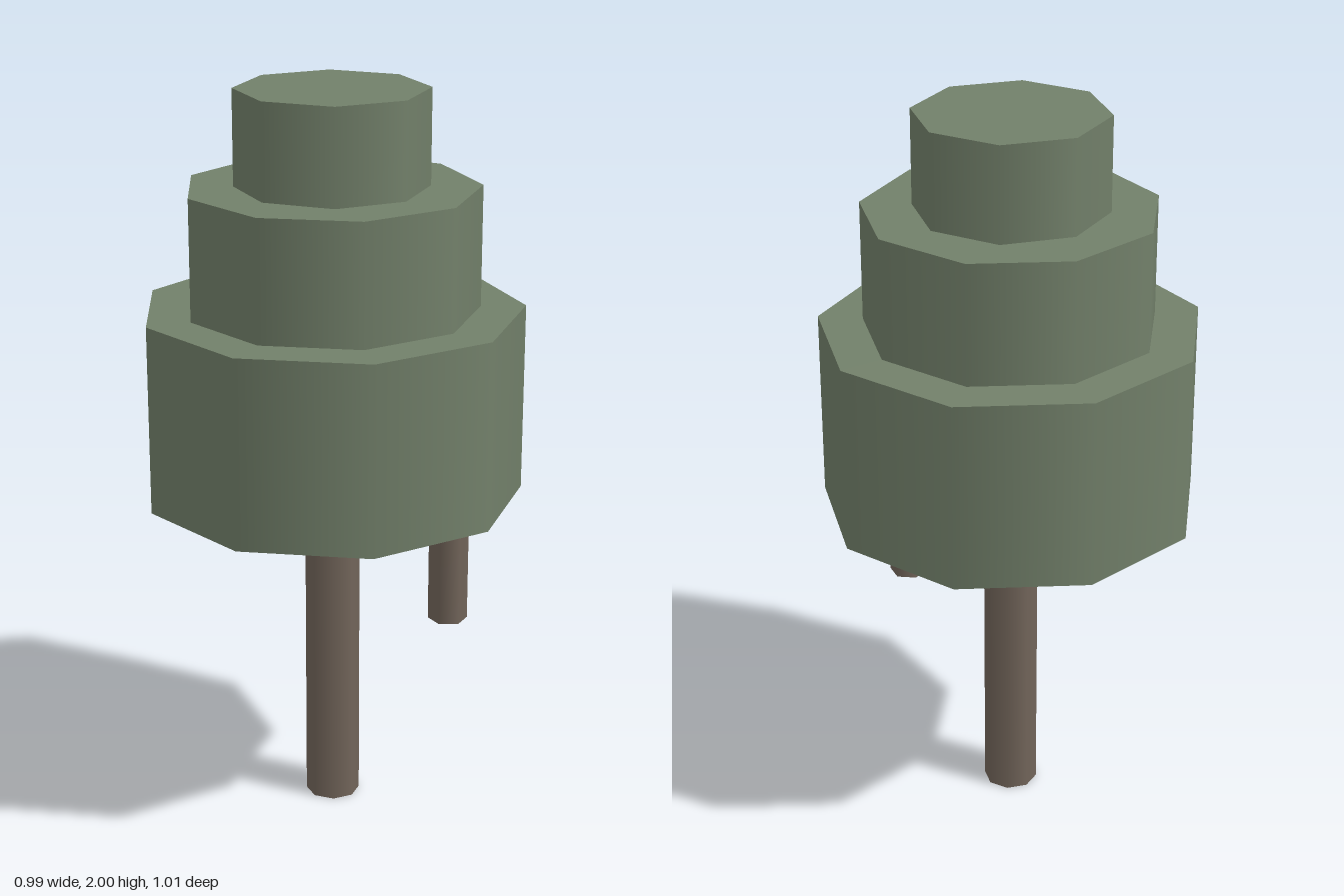
import * as THREE from 'three';
import { mergeGeometries } from 'three/addons/utils/BufferGeometryUtils.js';

const foliage = new THREE.MeshStandardMaterial({ color: 0x72806a, side: THREE.DoubleSide });
foliage.name = 'foliage green';
const bark = new THREE.MeshStandardMaterial({ color: 0x72655a });
bark.name = 'bark brown';

const AXIS_X = -0.017; // shared axis of trunk and crown

// Smooth-sided prism with a corner on +x; open prisms keep only their top cap
function prism(name, material, { x = AXIS_X, z = 0, r, bottom, top, sides, open = false }) {
  const h = top - bottom;
  let geometry = new THREE.CylinderGeometry(r, r, h, sides, 1, open, Math.PI / 2);
  if (open) {
    const cap = new THREE.CircleGeometry(r, sides).rotateX(-Math.PI / 2).translate(0, h / 2, 0);
    geometry = mergeGeometries([geometry, cap]);
  }
  const mesh = new THREE.Mesh(geometry, material);
  mesh.name = name;
  mesh.position.set(x, bottom + h / 2, z);
  return mesh;
}

export function createModel() {
  const tree = new THREE.Group();
  tree.name = 'tree';

  // Trunk and the side stem hanging below the crown
  tree.add(
    prism('trunk', bark, { r: 0.074, bottom: 0, top: 1.1, sides: 8 }),
    prism('sideStem', bark, { x: 0.29, z: 0.138, r: 0.053, bottom: 0.585, top: 1.1, sides: 6 }),
  );

  // Three stacked crown tiers, hollow from below
  const crown = new THREE.Group();
  crown.name = 'crown';
  crown.add(
    prism('lowerTier', foliage, { r: 0.512, bottom: 0.91, top: 1.42, sides: 9, open: true }),
    prism('middleTier', foliage, { r: 0.392, bottom: 1.42, top: 1.745, sides: 9, open: true }),
    prism('upperTier', foliage, { r: 0.256, bottom: 1.745, top: 2, sides: 8, open: true }),
  );
  tree.add(crown);
  return tree;
}
